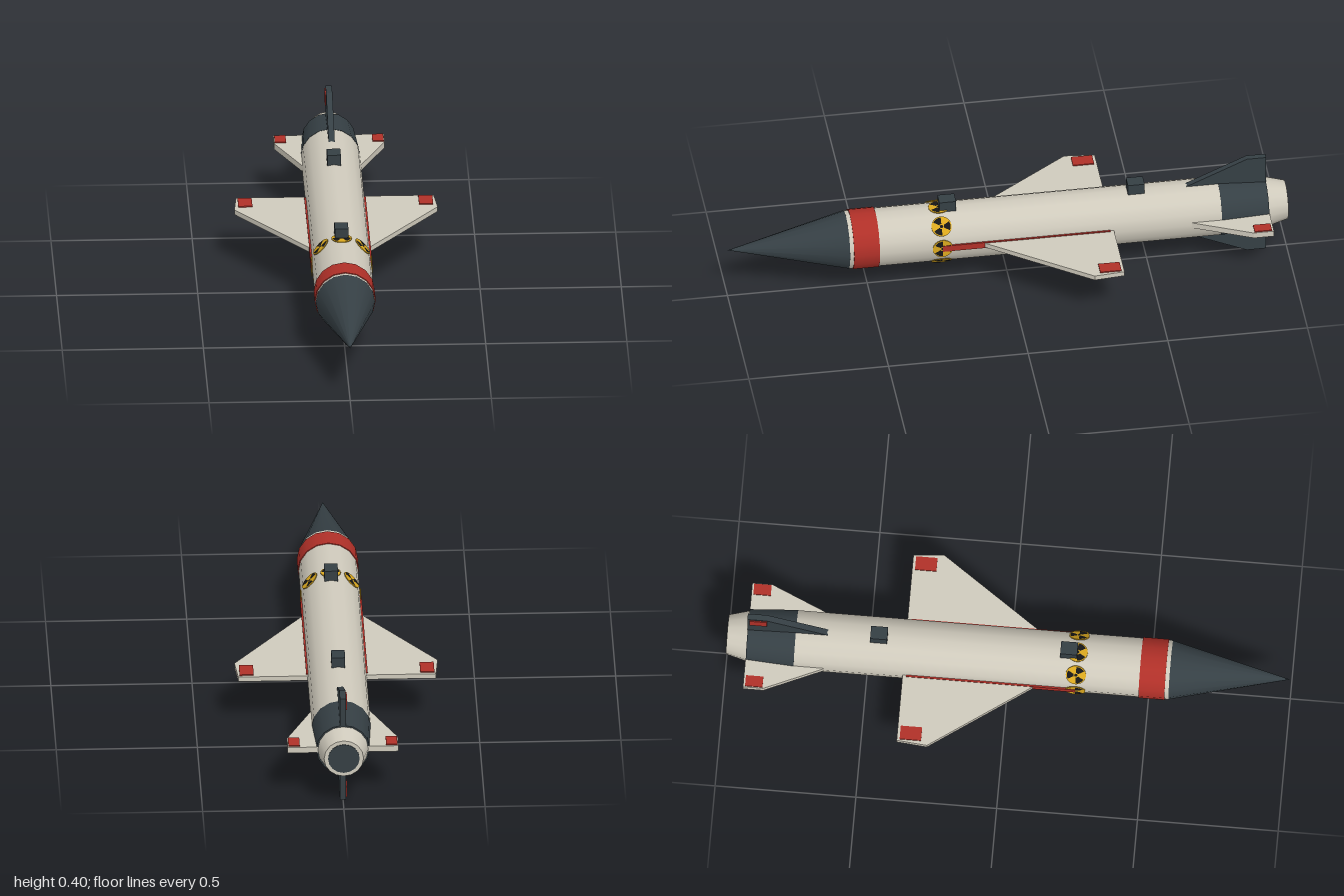
import * as THREE from 'three';

const mat = (color) => new THREE.MeshStandardMaterial({ color });
const cream = mat(0xcfcabc), red = mat(0xb03028), dark = mat(0x353f44);
const yellow = mat(0xdba81e), black = mat(0x161616);

function add(parent, name, geometry, material) {
  const mesh = new THREE.Mesh(geometry, material);
  mesh.name = name;
  parent.add(mesh);
  return mesh;
}

// 16-sided section of the fuselage lying along z, from the back to the front
function section(parent, name, zBack, zFront, rBack, rFront, material) {
  const g = new THREE.CylinderGeometry(rFront, rBack, zFront - zBack, 16);
  g.rotateX(Math.PI / 2).translate(0, 0, (zBack + zFront) / 2);
  return add(parent, name, g, material);
}

// Flat plate pointing along local +x, turned about the fuselage axis;
// the red tip panel sits on one face, chosen by side (+1 or -1)
function fin(parent, name, outline, thickness, material, panel, angle, side) {
  const group = new THREE.Group();
  group.name = name;
  const shape = new THREE.Shape(outline.map(([x, z]) => new THREE.Vector2(x, z)));
  const g = new THREE.ExtrudeGeometry(shape, { depth: thickness, bevelEnabled: false });
  g.translate(0, 0, -thickness / 2).rotateX(Math.PI / 2);
  add(group, name + 'Plate', g, material);
  const [x0, x1, z0, z1] = panel;
  add(group, name + 'TipPanel', new THREE.BoxGeometry(x1 - x0, 0.006, z1 - z0), red)
    .position.set((x0 + x1) / 2, side * (thickness / 2 + 0.001), (z0 + z1) / 2);
  group.rotation.z = angle;
  parent.add(group);
}

// Round warning sign with three blades and a centre dot
function warningSign(parent, angle) {
  const sign = new THREE.Group();
  sign.name = 'warningSign';
  const disc = new THREE.CylinderGeometry(0.036, 0.036, 0.003, 24).rotateX(Math.PI / 2);
  add(sign, 'signDisc', disc, yellow);
  for (let i = 0; i < 3; i++) {
    const start = Math.PI / 6 + i * Math.PI * 2 / 3 - Math.PI / 6;
    add(sign, 'signBlade', new THREE.RingGeometry(0.009, 0.032, 8, 1, start, Math.PI / 3), black)
      .position.z = 0.0022;
  }
  add(sign, 'signDot', new THREE.CircleGeometry(0.006, 12), black).position.z = 0.0022;
  // Face outward, with the sign's up direction toward the nose
  const out = new THREE.Vector3(Math.cos(angle), Math.sin(angle), 0);
  const up = new THREE.Vector3(0, 0, 1);
  const across = new THREE.Vector3().crossVectors(up, out);
  sign.quaternion.setFromRotationMatrix(new THREE.Matrix4().makeBasis(across, up, out));
  sign.position.copy(out).multiplyScalar(0.1055).setZ(0.245);
  parent.add(sign);
}

export function createModel() {
  const model = new THREE.Group();
  model.name = 'missile';
  const body = new THREE.Group();
  body.name = 'airframe';
  body.position.y = 0.2;
  model.add(body);

  // Fuselage
  section(body, 'nozzle', -0.998, -0.925, 0.07, 0.09, cream);
  section(body, 'nozzleOpening', -1, -0.99, 0.056, 0.056, dark);
  section(body, 'tailSection', -0.926, -0.755, 0.095, 0.106, dark);
  section(body, 'fuselage', -0.756, 0.576, 0.105, 0.105, cream);
  section(body, 'redBand', 0.47, 0.562, 0.108, 0.108, red);
  section(body, 'noseCone', 0.575, 1, 0.105, 0, dark);

  // Main wings with red root strips
  const wing = [[0.09, 0.12], [0.105, 0.1], [0.36, -0.26], [0.35, -0.368], [0.09, -0.368]];
  const wingPanel = [0.295, 0.345, -0.358, -0.282];
  fin(body, 'leftWing', wing, 0.018, cream, wingPanel, 0, 1);
  fin(body, 'rightWing', wing, 0.018, cream, wingPanel, Math.PI, -1);
  for (const s of [1, -1]) {
    add(body, 'wingRootStrip', new THREE.BoxGeometry(0.01, 0.024, 0.6), red)
      .position.set(s * 0.104, 0, -0.055);
  }

  // Tail fins: pale horizontal pair, dark vertical pair
  const tail = [[0.08, -0.6], [0.105, -0.65], [0.196, -0.855], [0.196, -0.927], [0.08, -0.927]];
  const tailPanel = [0.153, 0.193, -0.92, -0.858];
  fin(body, 'leftTailFin', tail, 0.022, cream, tailPanel, 0, 1);
  fin(body, 'rightTailFin', tail, 0.022, cream, tailPanel, Math.PI, -1);
  const rudder = [[0.085, -0.6], [0.105, -0.645], [0.2, -0.858], [0.2, -0.927], [0.085, -0.927]];
  fin(body, 'upperTailFin', rudder, 0.022, dark, tailPanel, Math.PI / 2, 1);
  fin(body, 'lowerTailFin', rudder, 0.022, dark, tailPanel, -Math.PI / 2, -1);

  // Mounting lugs on the back
  for (const z of [0.215, -0.46]) {
    add(body, 'mountingLug', new THREE.BoxGeometry(0.048, 0.05, 0.06), dark)
      .position.set(0, 0.116, z);
  }

  // Ring of warning signs
  for (let i = 0; i < 8; i++) warningSign(body, i * Math.PI / 4);

  return model;
}
